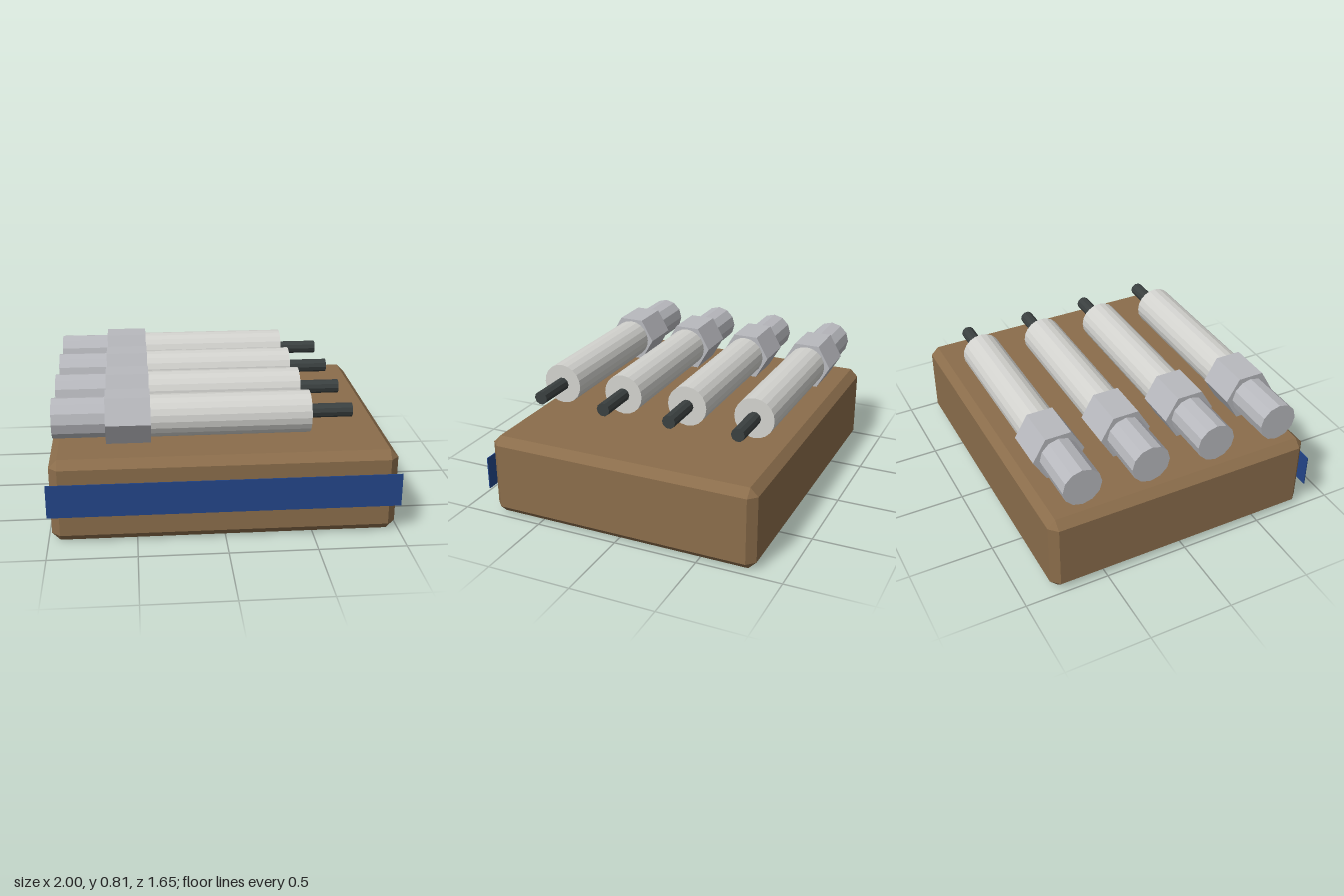
import * as THREE from 'three';
import { ConvexGeometry } from 'three/addons/geometries/ConvexGeometry.js';

const material = (name, color) => {
  const m = new THREE.MeshStandardMaterial({ color, flatShading: true });
  m.name = name;
  return m;
};

// Box with every edge chamfered by b
function chamferedBox(w, h, d, b) {
  const points = [];
  for (const x of [-1, 1]) for (const y of [-1, 1]) for (const z of [-1, 1]) {
    for (const [i, j, k] of [[0, b, b], [b, 0, b], [b, b, 0]]) {
      points.push(new THREE.Vector3(x * (w / 2 - i), y * (h / 2 - j), z * (d / 2 - k)));
    }
  }
  return new ConvexGeometry(points);
}

export function createModel() {
  const brown = material('brown case', 0x8b6d4b);
  const blue = material('blue band', 0x23468a);
  const steel = material('steel', 0xb8b9be);
  const ceramic = material('pale ceramic', 0xd2d2ce);
  const dark = material('dark electrode', 0x3a4040);

  const model = new THREE.Group();
  model.name = 'plugsOnCase';
  const add = (parent, name, geometry, mat, x, y, z) => {
    const mesh = new THREE.Mesh(geometry, mat);
    mesh.name = name;
    mesh.position.set(x, y, z);
    parent.add(mesh);
  };

  // Case and the thin band standing just off its front
  add(model, 'case', chamferedBox(1.96, 0.49, 1.64, 0.047), brown, 0, 0.245, -0.007);
  add(model, 'frontBand', new THREE.BoxGeometry(2, 0.195, 0.006), blue, 0, 0.263, 0.823);

  // Each plug is a row of prisms along x: name, start, end, radius, sides, material
  const sections = [
    ['collar', -0.955, -0.66, 0.115, 12, steel],
    ['hexNut', -0.66, -0.41, 0.154, 6, steel],
    ['insulator', -0.41, 0.49, 0.12, 20, ceramic],
    ['electrode', 0.49, 0.735, 0.04, 10, dark],
  ].map(([name, x0, x1, r, sides, mat]) => ({
    name, mat, x: (x0 + x1) / 2,
    geometry: new THREE.CylinderGeometry(r, r, x1 - x0, sides).rotateZ(-Math.PI / 2),
  }));

  for (let i = 0; i < 4; i++) {
    const plug = new THREE.Group();
    plug.name = `plug${i + 1}`;
    plug.position.set(0, 0.675, 0.604 - i * 0.41);
    for (const s of sections) add(plug, s.name, s.geometry, s.mat, s.x, 0, 0);
    model.add(plug);
  }
  return model;
}
